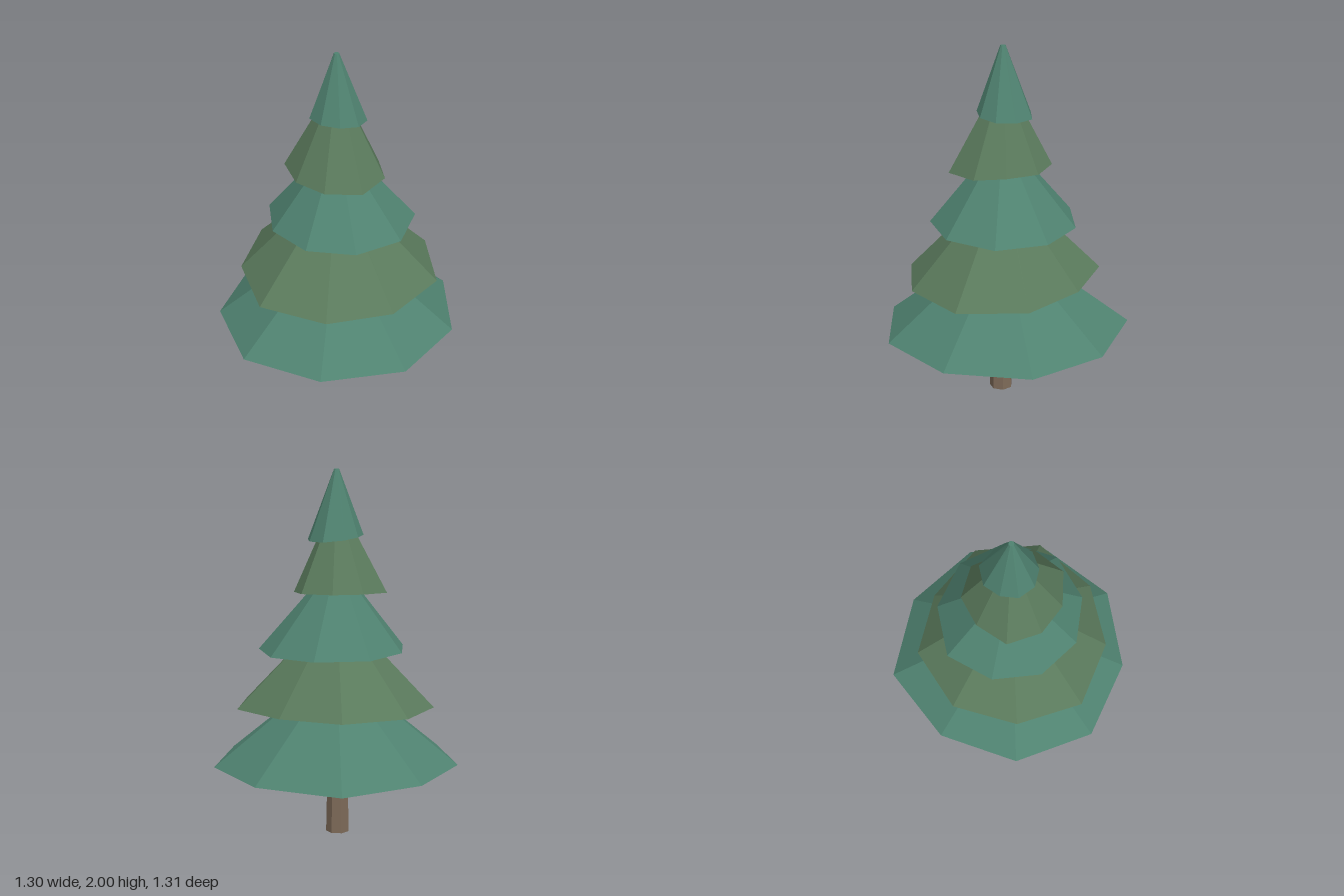
import * as THREE from 'three';

const TEAL = 0x4f8270, GREEN = 0x5a7a5c, BROWN = 0x7d6a58;
const AXIS = [-0.025, 0]; // x, z of the slightly off-centre stem

// Each tier: rim outline (x, z), rim height and tilt along x and z, tip height
const TIERS = [
  { color: TEAL, y: 0.403, tilt: [0.004, 0.008], tip: 0.93, rim: [[-0.39, -0.61], [0.09, -0.66], [0.49, -0.44],
    [0.65, 0], [0.5, 0.43], [0.095, 0.65], [-0.36, 0.6], [-0.65, 0.24], [-0.645, -0.22]] },
  { color: GREEN, y: 0.715, tilt: [-0.015, -0.025], tip: 1.26, rim: [[-0.31, -0.46], [0.045, -0.49], [0.387, -0.363],
    [0.545, -0.017], [0.398, 0.335], [0.087, 0.527], [-0.293, 0.503], [-0.52, 0.2], [-0.54, -0.168]] },
  { color: TEAL, y: 1.03, tilt: [-0.01, 0.02], tip: 1.5, rim: [[-0.11, -0.398], [0.17, -0.366], [0.373, -0.16],
    [0.373, 0.13], [0.19, 0.335], [-0.07, 0.384], [-0.3, 0.262], [-0.41, 0.02], [-0.36, -0.25]] },
  { color: GREEN, y: 1.343, tilt: [-0.02, -0.04], tip: 1.83, rim: [[-0.133, -0.24], [0.05, -0.248], [0.17, -0.122],
    [0.25, 0.03], [0.185, 0.216], [-0.003, 0.272], [-0.178, 0.216], [-0.297, 0.066], [-0.25, -0.115]] },
  { color: TEAL, y: 1.635, tilt: [-0.05, 0.1], tip: 2, rim: [[-0.035, -0.168], [0.07, -0.126], [0.13, -0.038],
    [0.115, 0.063], [0.035, 0.126], [-0.066, 0.136], [-0.147, 0.08], [-0.164, -0.014], [-0.133, -0.11]] },
];

function material(color) {
  return new THREE.MeshStandardMaterial({ color, flatShading: true });
}

// Closed faceted cone with a blunt tip over an uneven rim
function tierGeometry({ y, tilt, tip, rim }) {
  const [ax, az] = AXIS;
  const low = rim.map(([x, z]) => [x, y + tilt[0] * x + tilt[1] * z, z]);
  const high = rim.map(([x, z]) => {
    const s = 0.014 / Math.hypot(x - ax, z - az);
    return [ax + (x - ax) * s, tip, az + (z - az) * s];
  });
  const base = [ax, y + tilt[0] * ax + tilt[1] * az, az];
  const top = [ax, tip, az];
  const positions = [];
  rim.forEach((_, i) => {
    const j = (i + 1) % rim.length;
    positions.push(...low[j], ...low[i], ...high[i]);
    positions.push(...low[j], ...high[i], ...high[j]);
    positions.push(...high[j], ...high[i], ...top);
    positions.push(...low[i], ...low[j], ...base);
  });
  const geometry = new THREE.BufferGeometry();
  geometry.setAttribute('position', new THREE.Float32BufferAttribute(positions, 3));
  geometry.computeVertexNormals();
  return geometry;
}

export function createModel() {
  const tree = new THREE.Group();
  tree.name = 'pineTree';

  // Tapered trunk, its top hidden inside the lowest tier
  const trunk = new THREE.Mesh(new THREE.CylinderGeometry(0.054, 0.065, 0.5, 7), material(BROWN));
  trunk.name = 'trunk';
  trunk.position.set(-0.027, 0.25, 0.012);
  trunk.rotation.y = 0.4;
  tree.add(trunk);

  // Foliage tiers, bottom to top
  TIERS.forEach((tier, i) => {
    const mesh = new THREE.Mesh(tierGeometry(tier), material(tier.color));
    mesh.name = `foliageTier${i + 1}`;
    tree.add(mesh);
  });
  return tree;
}
